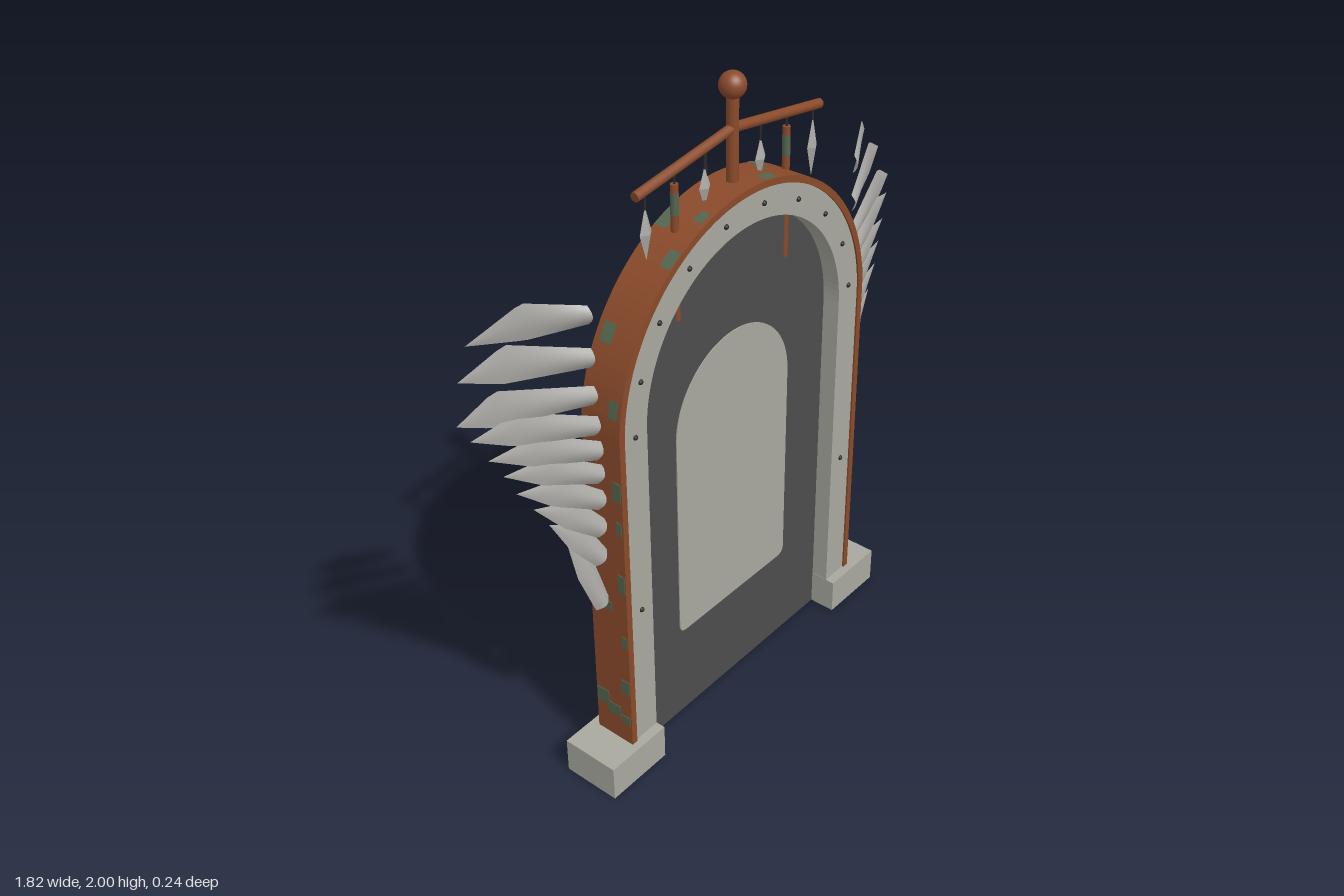
import * as THREE from 'three';
import { ParametricGeometry } from 'three/addons/geometries/ParametricGeometry.js';

const Z = 0.029, SPRING = 1.165; // middle plane and spring line of the arch

function material(name, color, side = THREE.FrontSide) {
  const m = new THREE.MeshStandardMaterial({ color, side });
  m.name = name;
  return m;
}

// Outline of an upright door with a round top
function archShape(r, bottom, spring = SPRING, corner = 0) {
  const s = new THREE.Shape();
  s.moveTo(-r + corner, bottom);
  s.lineTo(r - corner, bottom);
  if (corner) s.quadraticCurveTo(r, bottom, r, bottom + corner);
  s.lineTo(r, spring);
  s.absarc(0, spring, r, 0, Math.PI, false);
  s.lineTo(-r, bottom + corner);
  if (corner) s.quadraticCurveTo(-r, bottom, -r + corner, bottom);
  return s;
}

// Upside-down U between two radii
function ringShape(outer, inner, bottom) {
  const s = new THREE.Shape();
  s.moveTo(outer, bottom);
  s.lineTo(outer, SPRING);
  s.absarc(0, SPRING, outer, 0, Math.PI, false);
  s.lineTo(-outer, bottom);
  s.lineTo(-inner, bottom);
  s.lineTo(-inner, SPRING);
  s.absarc(0, SPRING, inner, Math.PI, 0, true);
  s.lineTo(inner, bottom);
  return s;
}

function slab(shape, depth) {
  const g = new THREE.ExtrudeGeometry(shape, { depth, bevelEnabled: false, curveSegments: 32 });
  return g.translate(0, 0, Z - depth / 2);
}

// Curved blade from root to tip, with a hump on its upper edge
function featherGeometry(side, root, tip, hump, humpAt) {
  const a = new THREE.Vector3(root[0] * side, root[1], Z);
  const b = new THREE.Vector3(tip[0] * side, tip[1], tip[2]);
  const axis = b.clone().sub(a);
  const up = new THREE.Vector3(-axis.y * side, axis.x * side, 0).normalize();
  return new ParametricGeometry((u, v, p) => {
    const k = u < humpAt ? u / humpAt : (1 - u) / (1 - humpAt);
    const top = u < humpAt ? 0.028 + (hump - 0.028) * k : hump * k;
    const low = -0.026 * (u < humpAt ? 1 : k);
    p.copy(a).addScaledVector(axis, u).addScaledVector(up, low + (top - low) * v);
    p.z += 0.016 * Math.sin(Math.PI * v) * (1 - u);
  }, 14, 6);
}

export function createModel() {
  const model = new THREE.Group();
  model.name = 'archedGate';
  const stone = material('stone', 0xa8a89f);
  const dark = material('darkPanel', 0x4c4c4c);
  const rust = material('rust', 0x8a4a2a);
  const patina = material('patina', 0x53664f, THREE.DoubleSide);
  const steel = material('featherSteel', 0xaaa9a5, THREE.DoubleSide);
  const iron = material('stud', 0x2c2a28);

  const add = (name, geometry, mat, x = 0, y = 0, z = 0, parent = model) => {
    const m = new THREE.Mesh(geometry, mat);
    m.name = name;
    m.position.set(x, y, z);
    parent.add(m);
    return m;
  };
  const rod = (name, from, to, r, mat) => {
    const a = new THREE.Vector3(...from), b = new THREE.Vector3(...to);
    const m = add(name, new THREE.CylinderGeometry(r, r, a.distanceTo(b), 12), mat);
    m.position.copy(a).add(b).multiplyScalar(0.5);
    m.quaternion.setFromUnitVectors(new THREE.Vector3(0, 1, 0), b.sub(a).normalize());
    return m;
  };

  // Door, frame and feet
  add('doorPanel', slab(archShape(0.43, 0), 0.012), dark);
  add('doorInset', slab(archShape(0.25, 0.315, 1.0, 0.03), 0.018), stone);
  add('stoneFrame', slab(ringShape(0.517, 0.424, 0.1), 0.122), stone);
  add('rustBand', slab(ringShape(0.535, 0.515, 0.1), 0.133), rust);
  for (const s of [-1, 1])
    add('foot', new THREE.BoxGeometry(0.222, 0.115, 0.185), stone, s * 0.534, 0.0575, 0.0275);

  // Studs on both faces of the frame
  const studs = [[-0.47, 0.585], [0.47, 0.585]];
  for (let i = 0; i < 10; i++) {
    const a = Math.PI - i * 0.3386;
    studs.push([0.47 * Math.cos(a), SPRING + 0.47 * Math.sin(a)]);
  }
  for (const [x, y] of studs) for (const s of [-1, 1])
    add('stud', new THREE.SphereGeometry(0.008, 8, 6), iron, x, y, Z + s * 0.061);

  // Patina on the straight sides: y, z, height, depth
  const sidePatches = [[1.02, 0.077, 0.06, 0.03], [1.04, -0.02, 0.07, 0.03], [0.9, 0.08, 0.04, 0.02],
    [0.64, -0.01, 0.05, 0.05], [0.61, 0.02, 0.03, 0.04], [0.71, 0.08, 0.06, 0.025], [0.5, 0.082, 0.04, 0.02],
    [0.33, 0.078, 0.05, 0.03], [0.25, -0.012, 0.05, 0.045], [0.22, 0.03, 0.04, 0.05], [0.2, 0.075, 0.03, 0.03]];
  for (const s of [-1, 1]) for (const [y, z, h, d] of sidePatches)
    add('sidePatina', new THREE.BoxGeometry(0.003, h, d), patina, s * 0.5355, y, z);

  // Patina on the round top: angle, z, arc, depth
  const topPatches = [[0.1, 0.08, 0.1, 0.03], [0.17, -0.015, 0.1, 0.03], [0.42, 0.075, 0.1, 0.03],
    [0.5, 0.0, 0.12, 0.05], [0.85, 0.07, 0.1, 0.03], [1.25, -0.02, 0.1, 0.035], [1.32, 0.02, 0.06, 0.03],
    [1.41, 0.075, 0.1, 0.035], [1.97, -0.015, 0.12, 0.04], [1.9, 0.07, 0.07, 0.03], [2.17, 0.075, 0.1, 0.035],
    [2.6, 0.0, 0.1, 0.04], [2.95, 0.07, 0.1, 0.03]];
  for (const [angle, z, arc, d] of topPatches) {
    const g = new THREE.CylinderGeometry(0.537, 0.537, d, 6, 1, true, angle + Math.PI / 2 - arc / 2, arc);
    add('topPatina', g.rotateX(Math.PI / 2), patina, 0, SPRING, z);
  }

  // Finial and drooping crossbar
  rod('finialPole', [0, 1.57, Z], [0, 1.94, Z], 0.017, rust);
  add('finialBall', new THREE.SphereGeometry(0.037, 24, 16), rust, 0, 1.963, Z);
  for (const s of [-1, 1]) {
    rod('crossbar', [0, 1.847, Z], [s * 0.376, 1.792, Z], 0.014, rust);
    rod('hangingRod', [s * 0.23, 1.385, Z], [s * 0.23, 1.775, Z], 0.011, rust);
    rod('rodPatina', [s * 0.23, 1.69, Z], [s * 0.23, 1.75, Z], 0.0115, patina);
    rod('rodThread', [s * 0.23, 1.76, Z], [s * 0.23, 1.812, Z], 0.003, iron);
  }

  // Diamond pendants on threads: x, centre y, half height
  for (const [x, y, h] of [[-0.34, 1.68, 0.075], [-0.112, 1.722, 0.06], [-0.106, 1.56, 0.07],
    [0.117, 1.722, 0.06], [0.348, 1.675, 0.088]]) {
    const g = new THREE.OctahedronGeometry(1).scale(0.022, h, 0.014);
    add('pendant', g, steel, x, y, Z);
    rod('pendantThread', [x, y + h - 0.01, Z], [x, 1.845 - Math.abs(x) * 0.146, Z], 0.003, iron);
  }

  // Wings: root, tip, hump height, hump position
  const feathers = [
    [[0.555, 1.545], [0.825, 1.525, -0.12], 0.08, 0.52],
    [[0.555, 1.422], [0.876, 1.455, -0.1], 0.08, 0.66],
    [[0.552, 1.31], [0.91, 1.355, -0.08], 0.075, 0.74],
    [[0.548, 1.215], [0.885, 1.305, -0.065], 0.065, 0.66],
    [[0.543, 1.135], [0.848, 1.235, -0.05], 0.06, 0.6],
    [[0.543, 1.06], [0.815, 1.175, -0.038], 0.055, 0.58],
    [[0.543, 0.975], [0.786, 1.11, -0.028], 0.055, 0.55],
    [[0.548, 0.885], [0.742, 1.04, -0.018], 0.055, 0.5],
    [[0.555, 0.79], [0.7, 0.97, -0.01], 0.05, 0.5],
    [[0.562, 0.635], [0.655, 0.9, 0], 0.04, 0.5],
  ];
  for (const s of [-1, 1]) {
    const wing = new THREE.Group();
    wing.name = s > 0 ? 'leftWing' : 'rightWing';
    for (const f of feathers) add('feather', featherGeometry(s, ...f), steel, 0, 0, 0, wing);
    model.add(wing);
  }
  return model;
}
